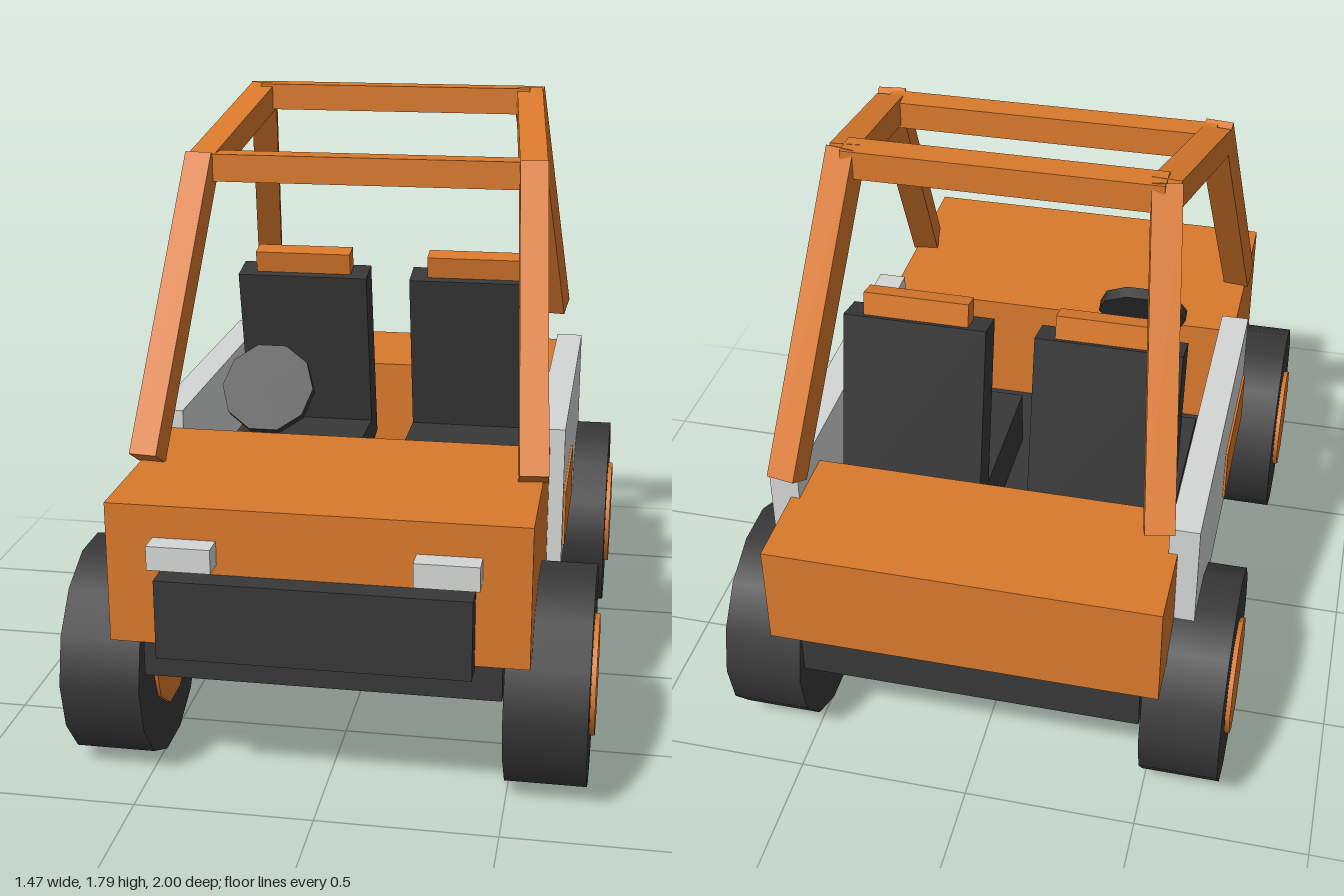
import * as THREE from 'three';

const mat = (name, color) => {
  const m = new THREE.MeshStandardMaterial({ color });
  m.name = name;
  return m;
};

export function createModel() {
  const root = new THREE.Group();
  root.name = 'buggy';
  const orange = mat('orange paint', 0xd9792c);
  const dark = mat('dark rubber', 0x383838);
  const grey = mat('light grey', 0xd4d7d5);

  const add = (name, geometry, material, x, y, z) => {
    const mesh = new THREE.Mesh(geometry, material);
    mesh.name = name;
    mesh.position.set(x, y, z);
    root.add(mesh);
    return mesh;
  };
  // box given by its ranges on each axis
  const box = (name, material, [x0, x1], [y0, y1], [z0, z1]) =>
    add(name, new THREE.BoxGeometry(x1 - x0, y1 - y0, z1 - z0), material,
      (x0 + x1) / 2, (y0 + y1) / 2, (z0 + z1) / 2);
  // square tube between two points
  const bar = (name, a, b, t = 0.08) => {
    const p = new THREE.Vector3(...a), q = new THREE.Vector3(...b);
    const mesh = add(name, new THREE.BoxGeometry(t, t, p.distanceTo(q)), orange, 0, 0, 0);
    mesh.position.lerpVectors(p, q, 0.5);
    mesh.lookAt(q);
  };

  // Body
  box('chassis', dark, [-0.49, 0.49], [0.335, 0.503], [-0.93, 0.88]);
  box('hood', orange, [-0.565, 0.565], [0.46, 0.855], [0.3, 0.935]);
  box('rearBox', orange, [-0.55, 0.55], [0.52, 0.825], [-1, -0.58]);
  box('bumper', dark, [-0.42, 0.42], [0.448, 0.67], [0.92, 1]);

  // Steering wheel on the right-hand side
  const disc = new THREE.CylinderGeometry(0.138, 0.138, 0.035, 10).rotateY(Math.PI / 2);
  add('steeringWheel', disc, dark, -0.285, 0.96, 0.2).rotation.x = 0.98;

  const wheelShape = new THREE.CylinderGeometry(0.311, 0.311, 0.225, 14).rotateZ(Math.PI / 2);
  const hubShape = new THREE.CylinderGeometry(0.17, 0.17, 0.248, 10).rotateZ(Math.PI / 2);
  const span = (s, a, b) => (s > 0 ? [a, b] : [-b, -a]);

  for (const s of [1, -1]) {
    const side = s > 0 ? 'left' : 'right';

    // Wheels
    for (const [end, z] of [['Front', 0.617], ['Rear', -0.651]]) {
      add(side + end + 'Wheel', wheelShape, dark, s * 0.608, 0.304, z);
      add(side + end + 'Hub', hubShape, orange, s * 0.61, 0.304, z);
    }

    // Side panel with painted patch, and headlight
    box(side + 'Panel', grey, span(s, 0.525, 0.608), [0.49, 0.91], [-0.755, 0.3]);
    box(side + 'PanelPatch', orange, span(s, 0.607, 0.615), [0.545, 0.712], [-0.15, 0.27]);
    box(side + 'Headlight', grey, span(s, 0.265, 0.437), [0.698, 0.765], [0.93, 0.998]);

    // Seat
    box(side + 'SeatCushion', dark, span(s, 0.07, 0.49), [0.5, 0.68], [-0.45, 0.05]);
    const back = add(side + 'SeatBack', new THREE.BoxGeometry(0.42, 0.62, 0.104), dark,
      s * 0.28, 0.9, -0.4);
    const rest = add(side + 'Headrest', new THREE.BoxGeometry(0.308, 0.07, 0.062), orange,
      s * 0.28, 1.238, -0.335);
    back.rotation.x = rest.rotation.x = 0.21;

    // Roll cage side
    bar(side + 'FrontPost', [s * 0.54, 0.87, 0.62], [s * 0.485, 1.64, 0.135]);
    bar(side + 'RoofRail', [s * 0.485, 1.615, 0.13], [s * 0.427, 1.755, -0.45]);
    bar(side + 'RearPost', [s * 0.427, 1.775, -0.43], [s * 0.51, 0.985, -0.86]);
  }

  // Roll cage cross bars
  bar('frontCrossBar', [-0.485, 1.615, 0.125], [0.485, 1.615, 0.125]);
  bar('rearCrossBar', [-0.43, 1.753, -0.44], [0.43, 1.753, -0.44]);

  return root;
}
